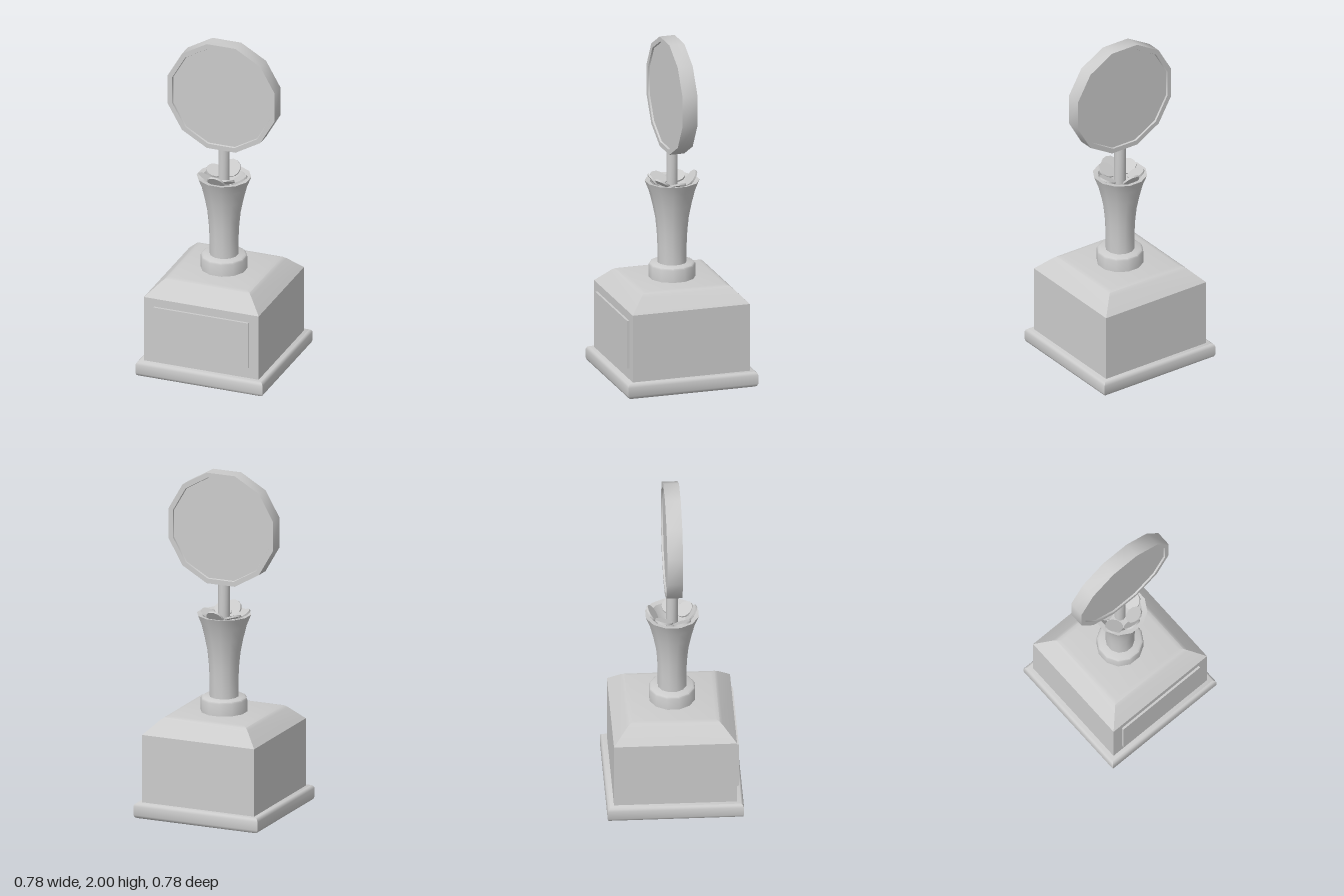
import * as THREE from 'three';
import { toCreasedNormals } from 'three/addons/utils/BufferGeometryUtils.js';

const material = new THREE.MeshStandardMaterial({ color: 0xcccccc });

function part(name, geometry, parent) {
  const mesh = new THREE.Mesh(geometry, material);
  mesh.name = name;
  parent.add(mesh);
  return mesh;
}

// Turned solid with flats facing the axes; points run from bottom to top.
function turned(profile, sides, crease = 0.65) {
  const points = profile.map(([r, y]) => new THREE.Vector2(r, y));
  return toCreasedNormals(new THREE.LatheGeometry(points, sides, Math.PI / sides), crease);
}

// Square solid from half-widths and heights.
function squared(profile) {
  return turned(profile.map(([w, y]) => [w * Math.SQRT2, y]), 4);
}

export function createModel() {
  const trophy = new THREE.Group();
  trophy.name = 'trophy';

  // Rounded plinth under a block with sloping shoulders
  part('plinth', squared([
    [0, 0], [0.375, 0], [0.385, 0.007], [0.39, 0.02], [0.39, 0.07],
    [0.385, 0.083], [0.375, 0.09], [0, 0.09],
  ]), trophy);
  part('baseBlock', squared([
    [0, 0.08], [0.352, 0.08], [0.352, 0.49], [0.275, 0.568],
    [0.258, 0.581], [0.235, 0.587], [0, 0.587],
  ]), trophy);

  const plaque = part('plaque', new THREE.BoxGeometry(0.58, 0.285, 0.03), trophy);
  plaque.position.set(0, 0.298, 0.35);

  // Collar and flared hollow cup
  part('collar', turned([
    [0, 0.58], [0.135, 0.58], [0.135, 0.658], [0.131, 0.668], [0.12, 0.675], [0, 0.675],
  ], 12), trophy);
  part('cup', turned([
    [0, 0.67], [0.084, 0.67], [0.084, 0.78], [0.088, 0.86], [0.096, 0.94], [0.112, 1.02],
    [0.132, 1.1], [0.157, 1.163], [0.128, 1.158], [0.11, 1.12], [0.085, 1.08], [0, 1.07],
  ], 12), trophy);

  // Small discs leaning outward around the cup mouth: x, y, z, tilt
  const petals = new THREE.Group();
  petals.name = 'rimDiscs';
  trophy.add(petals);
  const up = new THREE.Vector3(0, 1, 0);
  [
    [0.005, 1.165, -0.112, 0.95],
    [-0.075, 1.16, -0.05, 0.4],
    [0.09, 1.152, -0.003, 0.45],
    [0.04, 1.162, 0.075, 0.6],
    [-0.005, 1.166, 0.11, 0.95],
    [-0.09, 1.155, 0.052, 0.5],
  ].forEach(([x, y, z, tilt]) => {
    const disc = part('rimDisc', toCreasedNormals(new THREE.CylinderGeometry(0.052, 0.052, 0.011, 12), 0.65), petals);
    const inward = new THREE.Vector3(-x, 0, -z).normalize().multiplyScalar(Math.sin(tilt));
    inward.y = Math.cos(tilt);
    disc.position.set(x, y, z);
    disc.quaternion.setFromUnitVectors(up, inward);
  });

  // Stem carrying the twelve-sided medallion, recessed on both faces
  const stem = part('stem', toCreasedNormals(new THREE.CylinderGeometry(0.033, 0.033, 0.32, 12), 0.65), trophy);
  stem.position.y = 1.21;

  const medallion = part('medallion', turned([
    [0, -0.035], [0.308, -0.035], [0.311, -0.045], [0.34, -0.045],
    [0.34, 0.045], [0.311, 0.045], [0.308, 0.035], [0, 0.035],
  ], 12), trophy);
  medallion.rotation.x = Math.PI / 2;
  medallion.position.y = 1.6716;

  return trophy;
}
